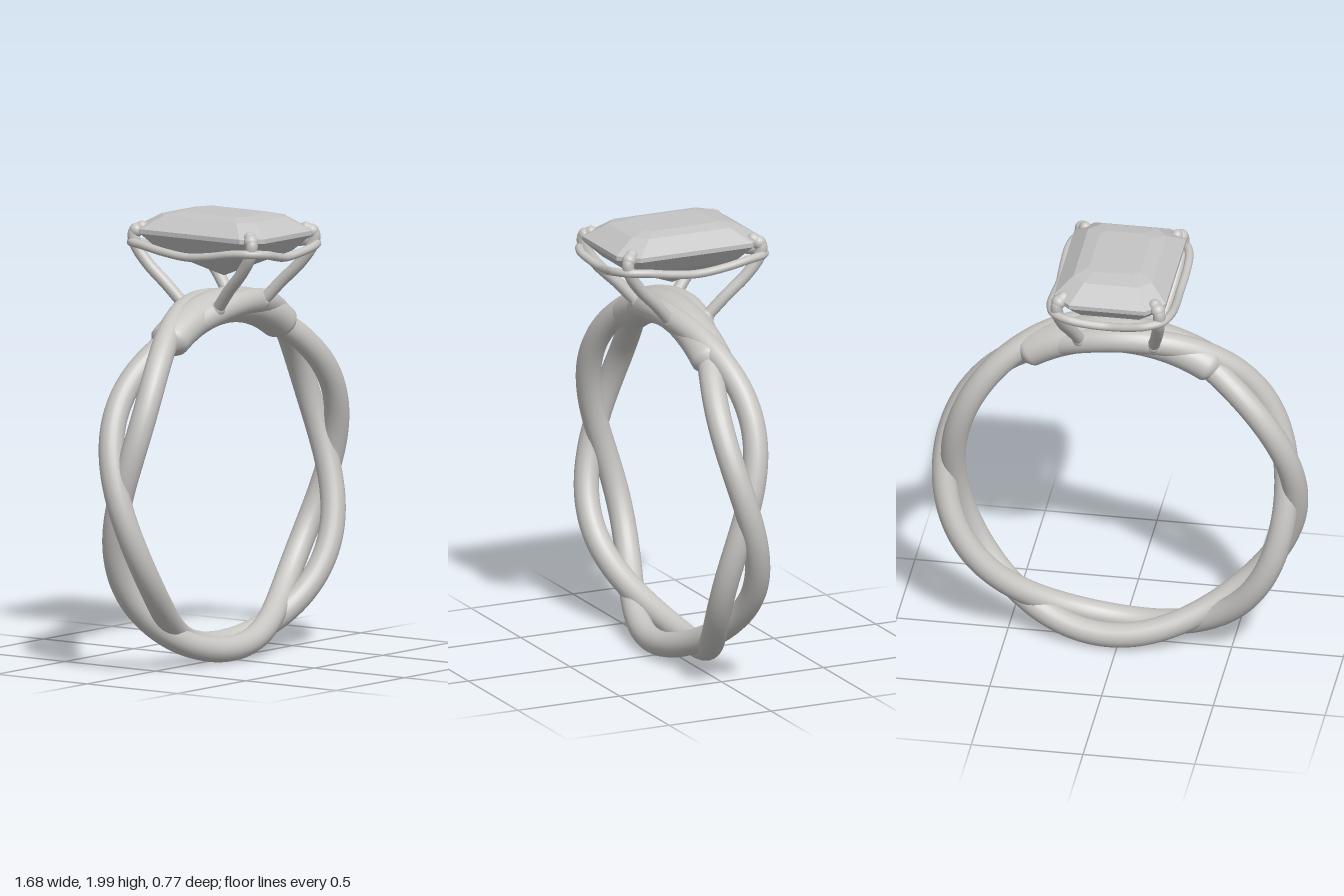
import * as THREE from 'three';

const CENTER_Y = 0.83;
const V = (x, y, z) => new THREE.Vector3(x, y, z);

// One strand of the twisted band: a helix wound three times around the ring
class StrandCurve extends THREE.Curve {
  constructor(sign) { super(); this.sign = sign; }
  getPoint(t, target = new THREE.Vector3()) {
    const phi = t * Math.PI * 2;
    const r = 0.765 + this.sign * 0.02 * Math.cos(3 * phi);
    return target.set(r * Math.cos(phi), CENTER_Y + r * Math.sin(phi), this.sign * 0.076 * Math.sin(3 * phi));
  }
}

// Thick oval shoulder over the top of the ring, tapering into the strands
function shoulderGeometry() {
  const geo = new THREE.PlaneGeometry(1, 1, 80, 32);
  const pos = geo.attributes.position;
  for (let i = 0; i < pos.count; i++) {
    const u = pos.getX(i) * 2;
    const a = (pos.getY(i) + 0.5) * Math.PI * 2;
    const phi = Math.PI / 2 - u * THREE.MathUtils.degToRad(37);
    const s = 1 - 0.5 * THREE.MathUtils.smoothstep(Math.abs(u), 0.86, 1);
    const r = 0.752 + 0.08 * s * Math.cos(a);
    pos.setXYZ(i, r * Math.cos(phi), CENTER_Y + r * Math.sin(phi), -0.094 * s * Math.sin(a));
  }
  geo.computeVertexNormals();
  return geo;
}

// Faceted stone: stacked cut-corner rectangles closed by a table and a point
function gemGeometry() {
  const levels = [ // half width, half depth, corner cut, height
    [0.115, 0.175, 0.03, 2.0],
    [0.175, 0.255, 0.055, 1.985],
    [0.25, 0.355, 0.08, 1.925],
    [0.25, 0.355, 0.08, 1.905],
    [0.19, 0.28, 0.06, 1.835],
    [0, 0, 0, 1.715],
  ];
  const rings = levels.map(([w, d, c, y]) => [
    V(w, y, d - c), V(w, y, c - d), V(w - c, y, -d), V(c - w, y, -d),
    V(-w, y, c - d), V(-w, y, d - c), V(c - w, y, d), V(w - c, y, d),
  ]);
  const pts = [];
  for (let i = 1; i < 7; i++) pts.push(rings[0][0], rings[0][i], rings[0][i + 1]);
  for (let k = 0; k < rings.length - 1; k++) {
    for (let i = 0; i < 8; i++) {
      const j = (i + 1) % 8;
      const [a, b, c, d] = [rings[k][i], rings[k][j], rings[k + 1][i], rings[k + 1][j]];
      pts.push(a, c, b);
      if (k < rings.length - 2) pts.push(b, c, d);
    }
  }
  const geo = new THREE.BufferGeometry().setFromPoints(pts);
  geo.computeVertexNormals();
  return geo;
}

export function createModel() {
  const model = new THREE.Group();
  model.name = 'ring';
  const metal = new THREE.MeshStandardMaterial({ color: 0xc6c5c2 });
  metal.name = 'metal';
  const stone = new THREE.MeshStandardMaterial({ color: 0xc4c4c4 });
  stone.name = 'stone';
  const add = (name, geo, mat, parent = model) => {
    const mesh = new THREE.Mesh(geo, mat);
    mesh.name = name;
    parent.add(mesh);
    return mesh;
  };

  // Twisted band
  for (const sign of [1, -1]) {
    add('bandStrand', new THREE.TubeGeometry(new StrandCurve(sign), 240, 0.056, 20, true), metal);
  }
  add('bandShoulder', shoulderGeometry(), metal);

  // Stone
  add('gem', gemGeometry(), stone);

  // Four prongs, each with a rounded foot and a tip bent over the stone
  for (const sx of [1, -1]) {
    for (const sz of [1, -1]) {
      const prong = new THREE.Group();
      prong.name = 'prong';
      const path = [
        [0.165, 1.59, 0.09], [0.19, 1.68, 0.17], [0.212, 1.77, 0.26],
        [0.226, 1.85, 0.316], [0.228, 1.905, 0.326], [0.205, 1.93, 0.298],
      ].map(([x, y, z]) => V(sx * x, y, sz * z));
      add('prongStem', new THREE.TubeGeometry(new THREE.CatmullRomCurve3(path), 40, 0.027, 14), metal, prong);
      add('prongFoot', new THREE.SphereGeometry(0.034, 16, 12), metal, prong).position.copy(path[0]);
      add('prongHead', new THREE.SphereGeometry(0.032, 16, 12), metal, prong).position.set(sx * 0.222, 1.915, sz * 0.318);
      add('prongTip', new THREE.SphereGeometry(0.027, 16, 12), metal, prong).position.copy(path[5]);
      model.add(prong);
    }
  }

  // Wavy gallery wire joining the prongs below the stone
  const quarter = [[0.268, 1.825, 0], [0.272, 1.838, 0.13], [0.268, 1.858, 0.25],
    [0.242, 1.862, 0.33], [0.17, 1.855, 0.365], [0.09, 1.838, 0.358], [0, 1.825, 0.343]];
  const half = [...quarter, ...quarter.slice(0, 6).reverse().map(([x, y, z]) => [-x, y, z])];
  const loop = [...half, ...half.slice(1, -1).reverse().map(([x, y, z]) => [x, y, -z])];
  const rail = new THREE.CatmullRomCurve3(loop.map((p) => V(...p)), true);
  add('galleryWire', new THREE.TubeGeometry(rail, 160, 0.019, 12, true), metal);

  return model;
}
